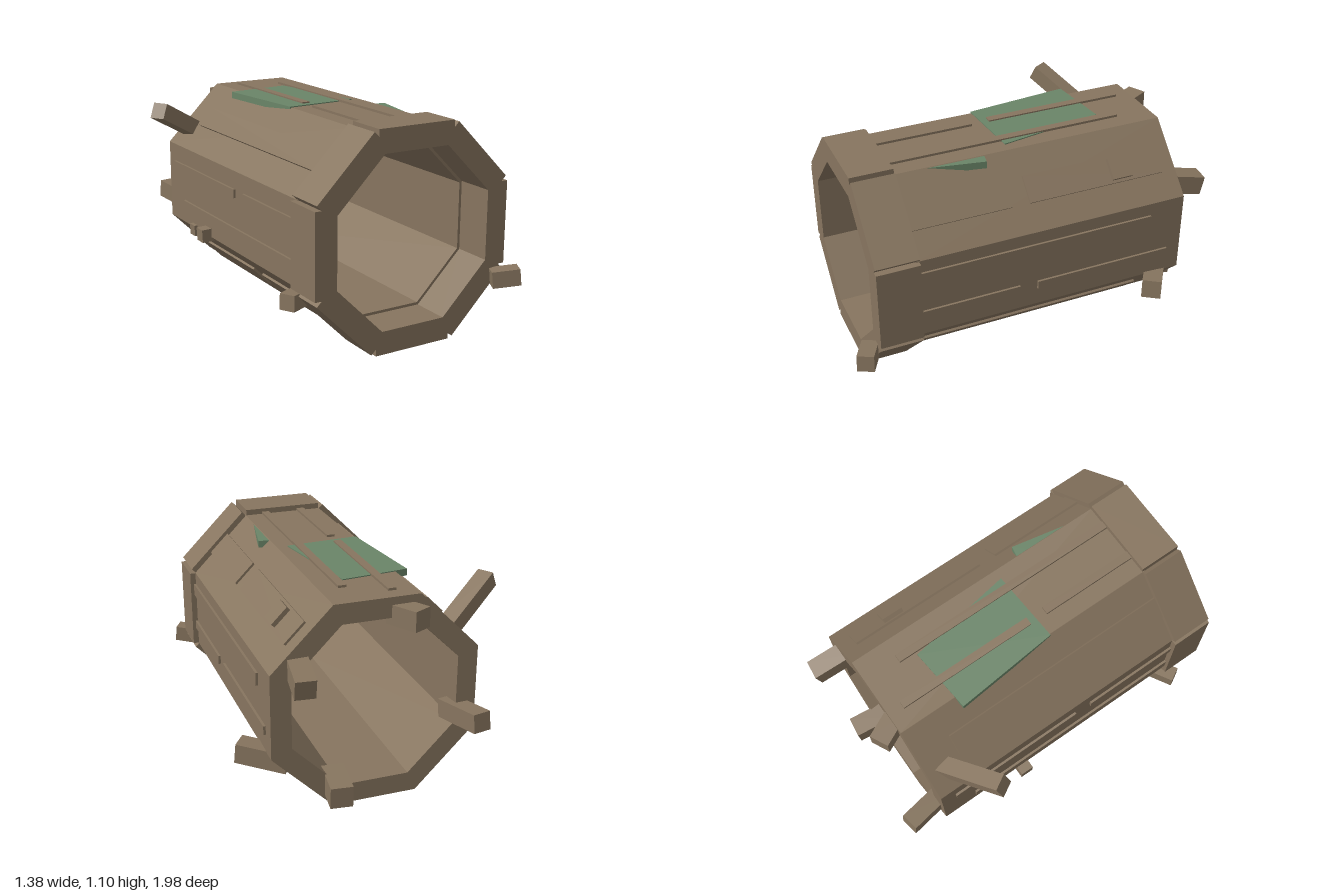
import * as THREE from 'three';

const CX = 0.028, CY = 0.55; // axis of the hollow log
const BODY = 0.52; // centre-to-face distance of the bark

export function createModel() {
  const model = new THREE.Group();
  model.name = 'hollowLog';
  const bark = new THREE.MeshStandardMaterial({ color: 0x87755f });
  bark.name = 'bark brown';
  const moss = new THREE.MeshStandardMaterial({ color: 0x6a8568 });
  moss.name = 'moss green';

  const add = (parent, name, geometry, material) => {
    const mesh = new THREE.Mesh(geometry, material);
    mesh.name = name;
    parent.add(mesh);
    return mesh;
  };

  // Octagon with flat sides facing the axes
  const octagon = (apothem) => Array.from({ length: 8 }, (_, i) => {
    const a = (i + 0.5) * Math.PI / 4, r = apothem / Math.cos(Math.PI / 8);
    return new THREE.Vector2(r * Math.cos(a), r * Math.sin(a));
  });

  // Hollow trunk
  const section = new THREE.Shape(octagon(BODY));
  section.holes.push(new THREE.Path(octagon(0.418)));
  const trunk = add(model, 'trunk', new THREE.ExtrudeGeometry(section, { depth: 1.45, bevelEnabled: false }), bark);
  trunk.position.set(CX, CY, -0.795);

  // Eight sides: index 0 is the top, going clockwise seen from the front
  const sides = Array.from({ length: 8 }, (_, i) => {
    const side = new THREE.Group();
    side.name = 'side' + i;
    side.position.set(CX, CY, 0);
    side.rotation.z = -i * Math.PI / 4;
    model.add(side);
    return side;
  });

  // Front rim made of eight blocks
  for (const side of sides) {
    add(side, 'rimBlock', new THREE.BoxGeometry(0.426, 0.118, 0.22), bark).position.set(0, 0.491, 0.75);
  }

  // Raised bark strips, either whole or split in two
  const strip = (side, u, width, z0, z1) => {
    add(side, 'barkStrip', new THREE.BoxGeometry(width, 0.04, z1 - z0), bark)
      .position.set(u, BODY - 0.008, (z0 + z1) / 2);
  };
  const whole = (side, u, w) => strip(side, u, w, -0.605, 0.65);
  const split = (side, u, w) => {
    strip(side, u, w, -0.715, 0.025);
    strip(side, u, w, 0.12, 0.65);
  };
  for (const i of [0, 4]) { split(sides[i], -0.103, 0.042); whole(sides[i], 0.102, 0.042); }
  for (const i of [2, 6]) { whole(sides[i], -0.117, 0.065); split(sides[i], 0.098, 0.045); }
  for (const i of [1, 5]) split(sides[i], 0, 0.14);
  for (const i of [3, 7]) whole(sides[i], 0, 0.12);

  // Square knot on the upper left side
  add(sides[1], 'knot', new THREE.BoxGeometry(0.11, 0.06, 0.11), bark).position.set(0, BODY + 0.005, -0.485);

  // Broken twigs: square bars from base to tip
  const twigs = [
    [[-0.37, 0.835, -0.705], [-0.66, 1.0, -0.535], 0.085],
    [[-0.385, 0.415, -0.7], [-0.44, 0.45, -0.98], 0.095],
    [[-0.07, 0.98, -0.74], [-0.15, 0.985, -0.9], 0.1],
    [[0.22, 0.155, -0.72], [0.245, 0.145, -0.925], 0.11],
    [[0.405, 0.8, -0.72], [0.43, 0.75, -0.955], 0.1],
    [[0.44, 0.28, -0.73], [0.65, 0.305, -0.585], 0.1],
    [[0.48, 0.28, 0.885], [0.605, 0.295, 0.95], 0.085],
    [[-0.44, 0.28, 0.61], [-0.565, 0.287, 0.68], 0.08],
    [[-0.44, 0.35, -0.31], [-0.545, 0.345, -0.31], 0.07],
    [[-0.42, 0.33, -0.48], [-0.51, 0.325, -0.48], 0.06],
  ];
  for (const [base, tip, size] of twigs) {
    const a = new THREE.Vector3(...base), b = new THREE.Vector3(...tip);
    const twig = add(model, 'twig', new THREE.BoxGeometry(size, size, a.distanceTo(b)), bark);
    twig.position.copy(a).lerp(b, 0.5);
    twig.lookAt(b);
  }

  // Moss slabs lying on the top; corners are [x, z]
  const mossSlab = (corners, bottom, top) => {
    const shape = new THREE.Shape(corners.map(([x, z]) => new THREE.Vector2(x, -z)));
    const geometry = new THREE.ExtrudeGeometry(shape, { depth: top - bottom, bevelEnabled: false });
    add(model, 'mossPatch', geometry.rotateX(-Math.PI / 2), moss).position.y = bottom;
  };
  mossSlab([[-0.25, -0.48], [0.095, -0.515], [0.19, 0.045], [-0.195, 0.07]], 1.04, 1.075);
  mossSlab([[0.02, 0.14], [0.302, 0.19], [0.222, 0.6], [0, 0.5]], 1.03, 1.067);

  return model;
}
